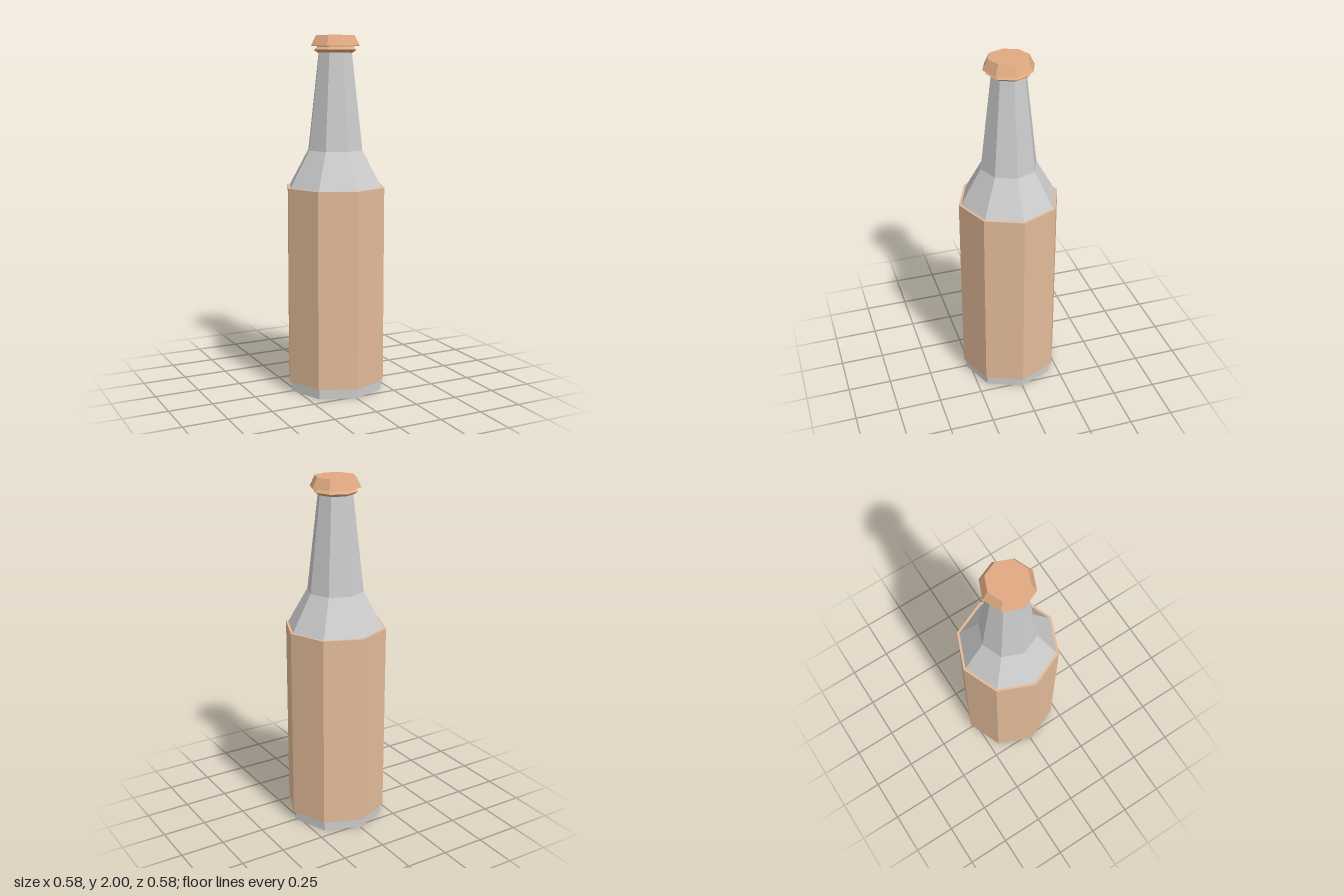
import * as THREE from 'three';

const SIDES = 8;

// Faceted turned part from [radius, height] pairs, listed bottom to top
function turned(name, profile, color) {
  const points = profile.map(([r, y]) => new THREE.Vector2(r, y));
  const material = new THREE.MeshStandardMaterial({ color, flatShading: true });
  const mesh = new THREE.Mesh(new THREE.LatheGeometry(points, SIDES), material);
  mesh.name = name;
  return mesh;
}

export function createModel() {
  const bottle = new THREE.Group();
  bottle.name = 'bottle';

  // Glass body, shoulder and tapering neck
  bottle.add(turned('glass', [
    [0, 0], [0.274, 0], [0.274, 1.165], [0.16, 1.37], [0.097, 1.91], [0, 1.91],
  ], 0xcccccc));

  // Wrapped label, a thin sleeve around the body
  bottle.add(turned('label', [
    [0.272, 0.057], [0.288, 0.057], [0.288, 1.165], [0.272, 1.165],
  ], 0xe2ba98));

  // Ridged ring under the cap
  bottle.add(turned('lip', [
    [0, 1.905], [0.1, 1.905], [0.125, 1.921], [0.108, 1.936], [0.108, 1.945],
  ], 0xe0aa82));

  // Flared cap
  bottle.add(turned('cap', [
    [0, 1.943], [0.142, 1.943], [0.113, 2], [0, 2],
  ], 0xe0aa82));

  return bottle;
}
